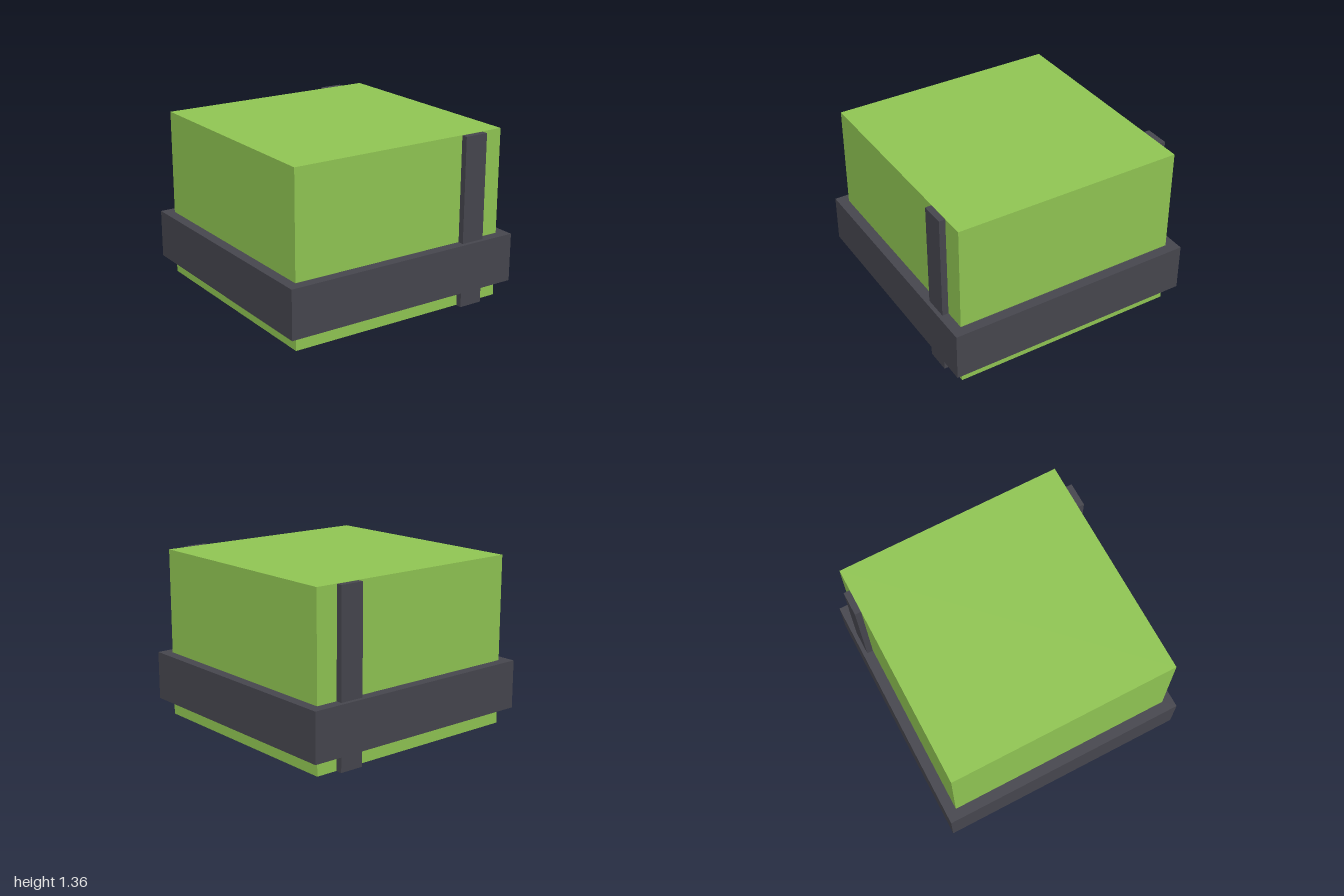
import * as THREE from 'three';

export function createModel() {
  const group = new THREE.Group();
  group.name = 'strappedBox';

  const green = new THREE.MeshStandardMaterial({ color: 0x92c854 });
  green.name = 'leaf green';
  const dark = new THREE.MeshStandardMaterial({ color: 0x47474f });
  dark.name = 'charcoal';

  // Box given by its extents on each axis
  const addBox = (name, material, [x0, x1], [y0, y1], [z0, z1]) => {
    const mesh = new THREE.Mesh(new THREE.BoxGeometry(x1 - x0, y1 - y0, z1 - z0), material);
    mesh.position.set((x0 + x1) / 2, (y0 + y1) / 2, (z0 + z1) / 2);
    mesh.name = name;
    group.add(mesh);
  };

  // Main block, lifted a hair so the strap shows underneath
  addBox('body', green, [-0.917, 0.917], [0.002, 1.356], [-0.917, 0.917]);

  // Wide belt around the lower half
  addBox('belt', dark, [-1, 1], [0.132, 0.518], [-1, 1]);

  // Upright strap running front to back through the block, just under its top face
  addBox('strap', dark, [0.545, 0.74], [0, 1.354], [-0.967, 0.967]);

  return group;
}
